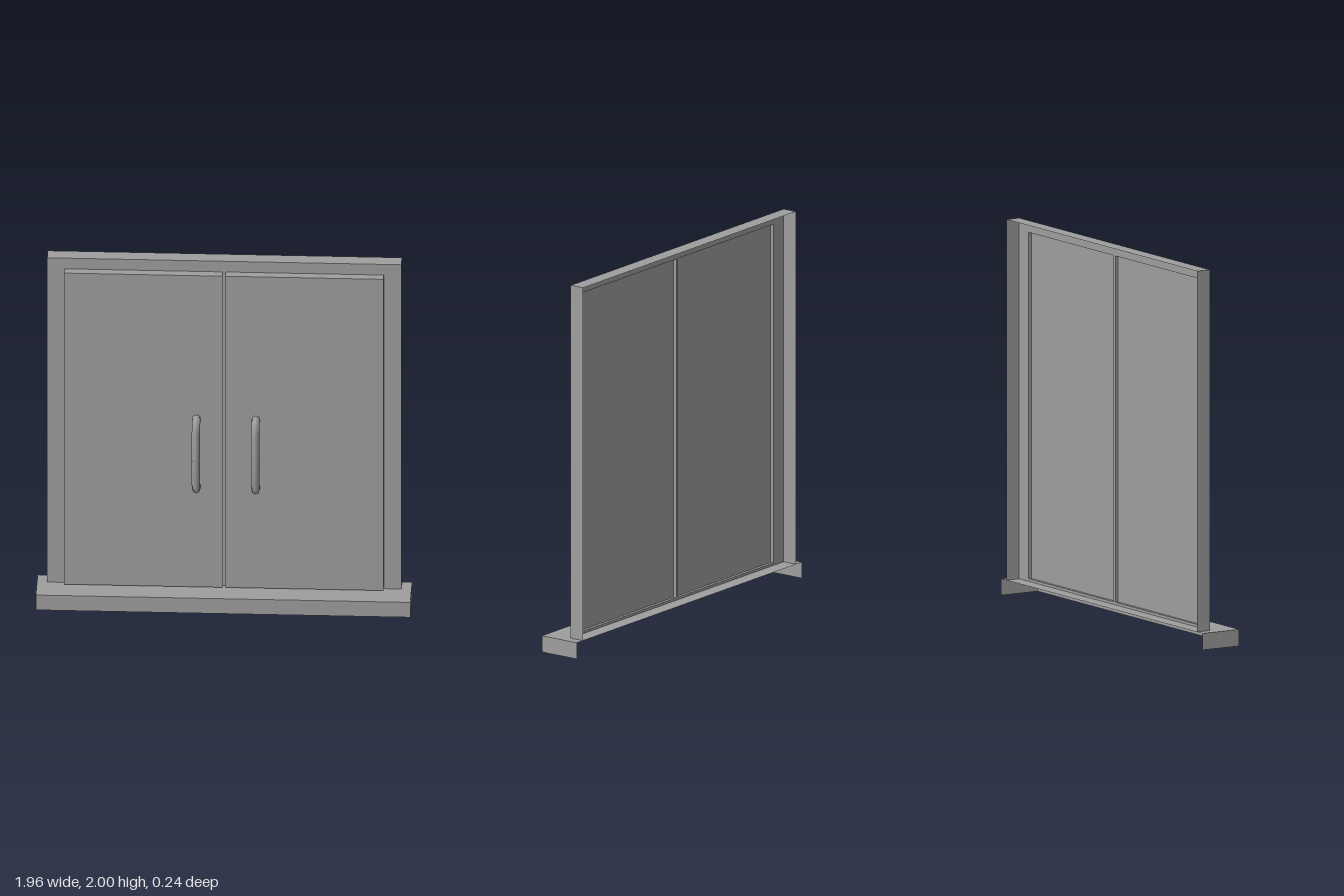
import * as THREE from 'three';

const material = new THREE.MeshStandardMaterial({ color: 0x9e9e9e, side: THREE.DoubleSide });

function add(parent, name, geometry) {
  const mesh = new THREE.Mesh(geometry, material);
  mesh.name = name;
  parent.add(mesh);
  return mesh;
}

// Box shell between two corners, keeping only the listed sides
// (0 +x, 1 -x, 2 +y, 3 -y, 4 +z, 5 -z)
function shell([x0, y0, z0], [x1, y1, z1], sides) {
  const geo = new THREE.BoxGeometry(x1 - x0, y1 - y0, z1 - z0);
  const index = Array.from(geo.index.array);
  geo.setIndex(sides.flatMap((s) => index.slice(s * 6, s * 6 + 6)));
  geo.clearGroups();
  return geo.translate((x0 + x1) / 2, (y0 + y1) / 2, (z0 + z1) / 2);
}

// Mitred round bar along a path of [z, y] points
function bar(path, radius, sides = 8) {
  const points = path.map(([z, y]) => new THREE.Vector2(z, y));
  const positions = [];
  const index = [];
  points.forEach((p, i) => {
    const before = points[Math.max(i - 1, 0)];
    const after = points[Math.min(i + 1, points.length - 1)];
    const a = (i ? p.clone().sub(before) : after.clone().sub(p)).normalize();
    const b = (i < points.length - 1 ? after.clone().sub(p) : a.clone()).normalize();
    const t = a.clone().add(b).normalize();
    const stretch = radius / t.dot(a);
    for (let k = 0; k < sides; k++) {
      const angle = (k / sides) * Math.PI * 2;
      const out = Math.sin(angle) * stretch;
      positions.push(Math.cos(angle) * radius, p.y + t.x * out, p.x - t.y * out);
      if (i === 0) continue;
      const n = (k + 1) % sides;
      const r0 = (i - 1) * sides;
      const r1 = i * sides;
      index.push(r0 + k, r0 + n, r1 + k, r0 + n, r1 + n, r1 + k);
    }
  });
  const geo = new THREE.BufferGeometry();
  geo.setAttribute('position', new THREE.Float32BufferAttribute(positions, 3));
  geo.setIndex(index);
  geo.computeVertexNormals();
  return geo;
}

function rectangle(x0, y0, x1, y1, Type) {
  return new Type([[x0, y0], [x1, y0], [x1, y1], [x0, y1]].map(([x, y]) => new THREE.Vector2(x, y)));
}

export function createModel() {
  const model = new THREE.Group();
  model.name = 'doubleDoor';

  const back = -0.118, frameFront = -0.038, doorBack = -0.021, doorFront = 0.01;
  const stepTop = 0.088, doorBottom = 0.102, doorTop = 1.937;
  const doors = [
    { name: 'rightDoor', x0: -0.835, x1: -0.008, handleX: -0.143 },
    { name: 'leftDoor', x0: 0.008, x1: 0.833, handleX: 0.167 },
  ];

  // Doorstep, open behind and below
  add(model, 'doorstep', shell([-0.978, 0, back], [0.978, stepTop, 0.11], [0, 1, 2, 4]));

  // Frame: outer walls and a front face with two openings
  const frame = new THREE.Group();
  frame.name = 'frame';
  model.add(frame);
  add(frame, 'frameWalls', shell([-0.925, stepTop, back], [0.925, 2, frameFront], [0, 1, 2]));
  const face = rectangle(-0.925, stepTop, 0.925, 2, THREE.Shape);
  for (const d of doors) face.holes.push(rectangle(d.x0, doorBottom, d.x1, doorTop, THREE.Path));
  add(frame, 'frameFace', new THREE.ShapeGeometry(face).translate(0, 0, frameFront));

  // Solid door leaves, slightly recessed behind, each with a bent pull handle
  const handle = bar([
    [doorFront, 1.095], [0.052, 1.095], [0.098, 1.048],
    [0.098, 0.749], [0.052, 0.702], [doorFront, 0.702],
  ], 0.0215);
  for (const d of doors) {
    const leaf = new THREE.Group();
    leaf.name = d.name;
    model.add(leaf);
    add(leaf, 'doorPanel', shell([d.x0, doorBottom, doorBack], [d.x1, doorTop, doorFront], [0, 1, 2, 3, 4, 5]));
    add(leaf, 'doorReveal', shell([d.x0, doorBottom, frameFront], [d.x1, doorTop, doorBack], [0, 1, 2, 3]));
    add(leaf, 'handle', handle).position.x = d.handleX;
  }

  return model;
}
